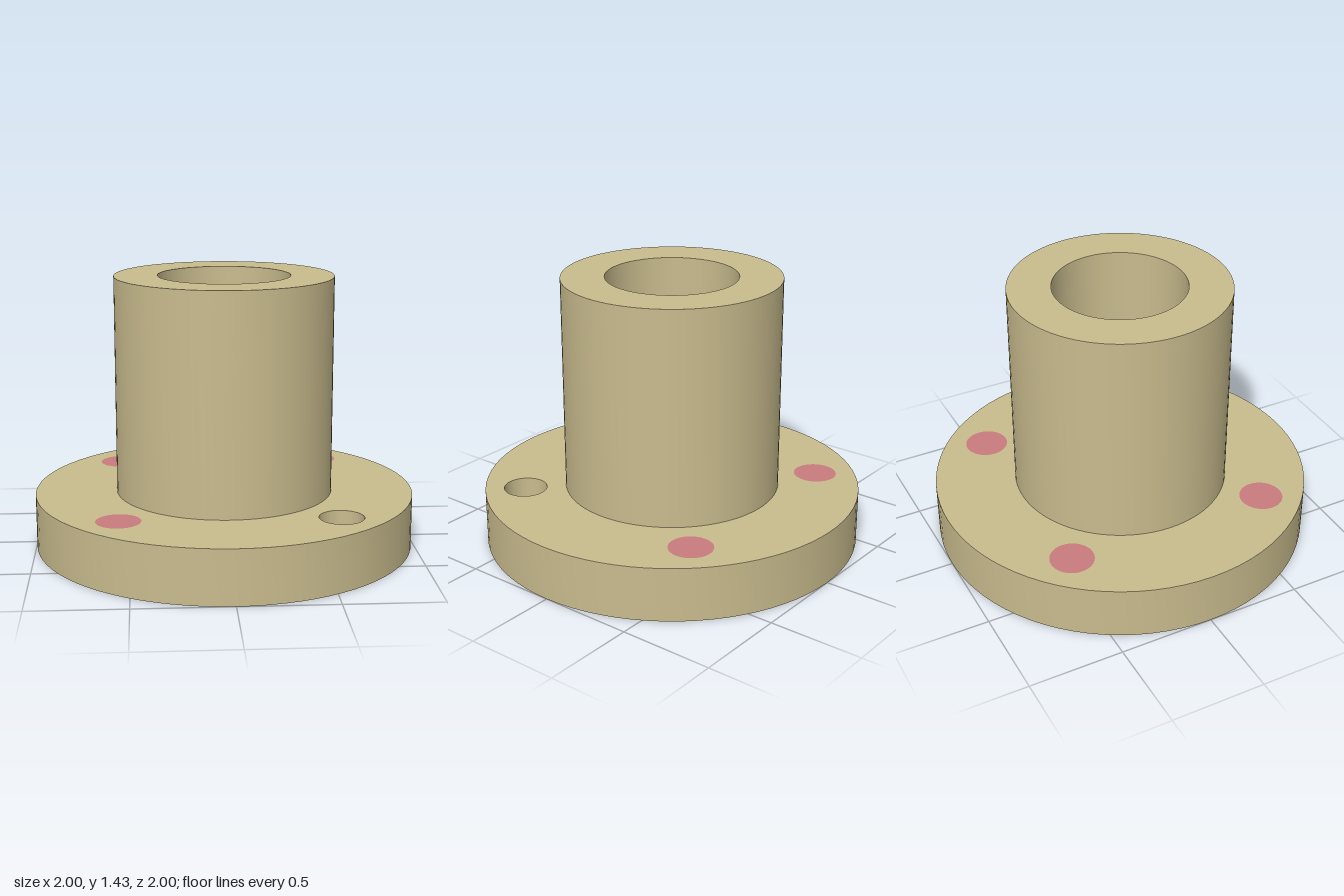
import * as THREE from 'three';
import { toCreasedNormals } from 'three/addons/utils/BufferGeometryUtils.js';

const FLANGE_R = 1, FLANGE_H = 0.286;
const HUB_R = 0.571, TOP = 1.43, BORE_R = 0.345;
const BOLT_POS = 0.556, BOLT_R = 0.114;

// Upright plate with round holes; holes are [x, z, radius]
function plate(radius, y0, y1, holes) {
  const shape = new THREE.Shape().absarc(0, 0, radius, 0, Math.PI * 2);
  for (const [x, z, r] of holes) {
    shape.holes.push(new THREE.Path().absarc(x, -z, r, 0, Math.PI * 2, true));
  }
  const geo = new THREE.ExtrudeGeometry(shape, { depth: y1 - y0, bevelEnabled: false, curveSegments: 40 });
  geo.rotateX(-Math.PI / 2).translate(0, y0, 0);
  return toCreasedNormals(geo, 0.6);
}

export function createModel() {
  const model = new THREE.Group();
  model.name = 'flangedBushing';
  const tan = new THREE.MeshStandardMaterial({ color: 0xc8bb8d });
  tan.name = 'tan';
  const rose = new THREE.MeshStandardMaterial({ color: 0xc87b7e });
  rose.name = 'rose';

  const add = (name, geometry, material) => {
    const mesh = new THREE.Mesh(geometry, material);
    mesh.name = name;
    model.add(mesh);
    return mesh;
  };

  // Flange with the central bore and four bolt holes
  const bolts = [[1, 1], [-1, 1], [1, -1], [-1, -1]].map(([sx, sz]) => [sx * BOLT_POS, sz * BOLT_POS, BOLT_R]);
  add('flange', plate(FLANGE_R, 0, FLANGE_H, [[0, 0, BORE_R], ...bolts]), tan);

  // Hollow hub
  add('hub', plate(HUB_R, FLANGE_H, TOP, [[0, 0, BORE_R]]), tan);

  // Flush plugs in all bolt holes but the front left one
  bolts.slice(1).forEach(([x, z, r], i) => {
    const plug = add('plug' + (i + 1), plate(r, 0, FLANGE_H, []), rose);
    plug.position.set(x, 0, z);
  });

  return model;
}
